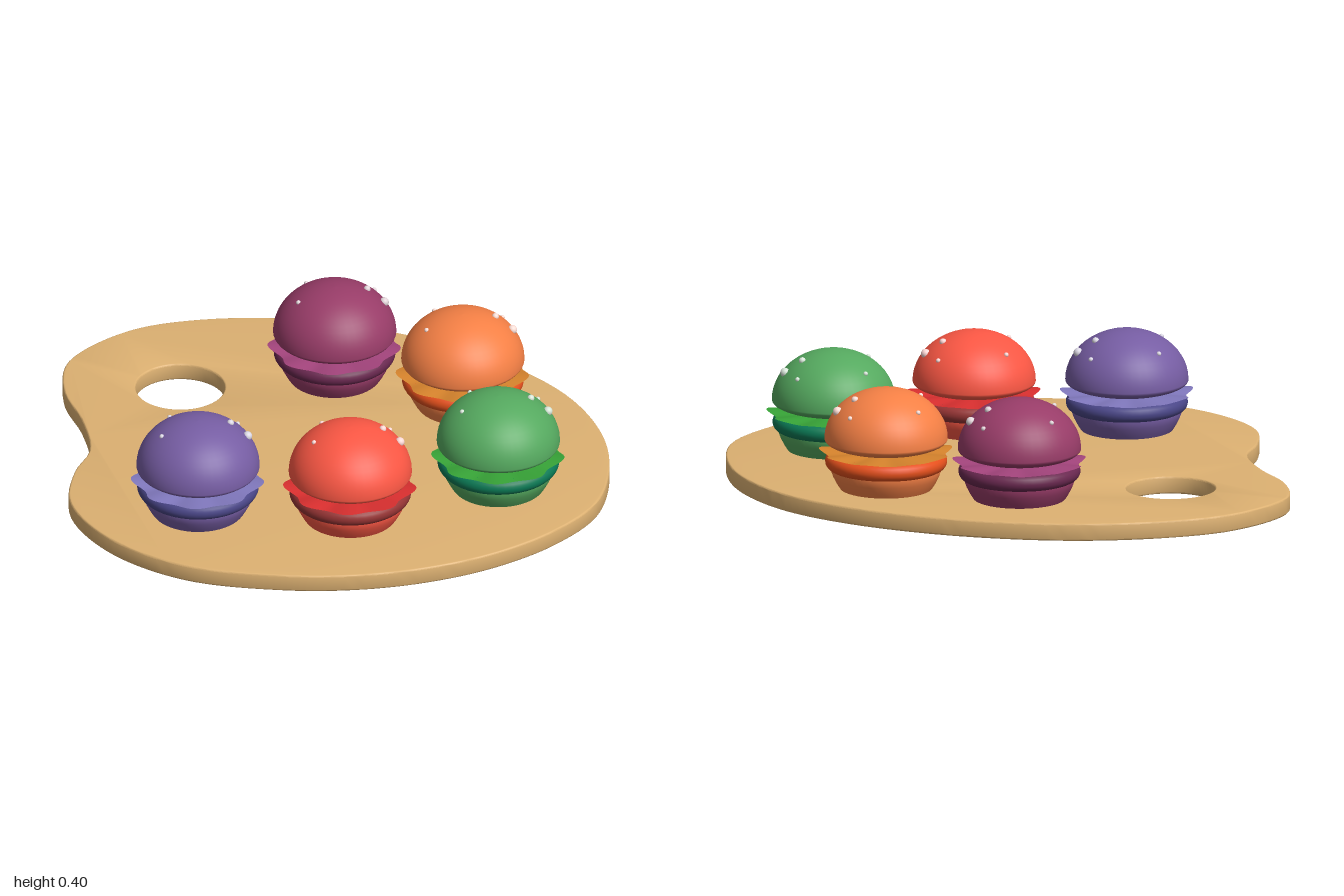
import * as THREE from 'three';
import { toCreasedNormals } from 'three/addons/utils/BufferGeometryUtils.js';

const BOARD_TOP = 0.06;
const DOME = { y: 0.23, r: 0.207, top: 0.172, bottom: 0.045 };

function mesh(name, geometry, color, side = THREE.FrontSide) {
  const m = new THREE.Mesh(geometry, new THREE.MeshStandardMaterial({ color, side }));
  m.name = name;
  return m;
}

const lathe = (points, segments = 48) =>
  new THREE.LatheGeometry(points.map(([r, y]) => new THREE.Vector2(r, y)), segments);

// Kidney-shaped board with a thumb hole; outline points are x, z
function createBoard() {
  const outline = [
    [-1, -0.25], [-0.9, -0.51], [-0.72, -0.67], [-0.41, -0.81], [0, -0.86],
    [0.4, -0.8], [0.67, -0.67], [0.89, -0.43], [1, -0.1], [0.95, 0.14],
    [0.82, 0.37], [0.65, 0.55], [0.45, 0.69], [0.22, 0.79], [-0.1, 0.855],
    [-0.4, 0.79], [-0.62, 0.62], [-0.69, 0.42], [-0.7, 0.27], [-0.8, 0.1], [-0.935, -0.06],
  ];
  const curve = new THREE.CatmullRomCurve3(
    outline.map(([x, z]) => new THREE.Vector3(x, -z, 0)), true, 'centripetal');
  const ring = curve.getSpacedPoints(160).slice(0, -1).map((p) => new THREE.Vector2(p.x, p.y));
  const shape = new THREE.Shape(ring.reverse());
  shape.holes.push(new THREE.Path().absarc(-0.588, 0.238, 0.15, 0, Math.PI * 2, true));
  const bevel = 0.006;
  const geometry = new THREE.ExtrudeGeometry(shape, {
    depth: BOARD_TOP - 2 * bevel, curveSegments: 32, bevelEnabled: true,
    bevelSize: bevel, bevelThickness: bevel, bevelOffset: -bevel, bevelSegments: 3,
  });
  geometry.translate(0, 0, bevel).rotateX(-Math.PI / 2);
  return mesh('paletteBoard', toCreasedNormals(geometry, 0.7), 0xddb172);
}

// Rounded top bun: tall upper half, shallow lower half
function domeGeometry() {
  const points = [];
  for (let i = 0; i <= 28; i++) {
    const a = -Math.PI / 2 + (Math.PI * i) / 28;
    const h = a < 0 ? DOME.bottom : DOME.top;
    points.push([Math.max(0, DOME.r * Math.cos(a)), DOME.y + h * Math.sin(a)]);
  }
  return lathe(points);
}

// Thin leaf with nine lobes and a gentle ripple
function leafGeometry() {
  const geometry = new THREE.RingGeometry(0.08, 1, 108, 4).rotateX(-Math.PI / 2);
  const pos = geometry.attributes.position;
  for (let i = 0; i < pos.count; i++) {
    const x = pos.getX(i), z = pos.getZ(i);
    const t = Math.hypot(x, z);
    const wave = Math.cos(9 * Math.atan2(x, -z));
    const r = 0.213 + 0.014 * wave;
    pos.setXYZ(i, x * r, 0.185 + 0.005 * wave * t * t, z * r);
  }
  geometry.computeVertexNormals();
  return geometry;
}

// Thick disc with a rounded rim
function pattyGeometry() {
  const points = [[0, 0.125]];
  for (let i = 0; i <= 10; i++) {
    const a = -Math.PI / 2 + (Math.PI * i) / 10;
    points.push([0.178 + 0.027 * Math.cos(a), 0.153 + 0.028 * Math.sin(a)]);
  }
  points.push([0, 0.181]);
  return lathe(points);
}

function createBurger({ name, x, z, bun, patty, leaf }) {
  const burger = new THREE.Group();
  burger.name = name;
  burger.position.set(x, 0, z);
  const base = lathe([[0, 0.055], [0.152, 0.055], [0.165, 0.075], [0.178, 0.1],
    [0.187, 0.125], [0.185, 0.14], [0, 0.14]]);
  burger.add(
    mesh('bottomBun', toCreasedNormals(base, 0.8), bun),
    mesh('patty', pattyGeometry(), patty),
    mesh('lettuce', leafGeometry(), leaf, THREE.DoubleSide),
    mesh('topBun', domeGeometry(), bun),
  );

  // Seeds resting on the dome: x, z, radius
  const seeds = [[0.145, -0.083, 0.016], [0.087, -0.073, 0.012], [0.08, -0.15, 0.008],
    [-0.135, -0.073, 0.008], [-0.095, 0.087, 0.008]];
  const pale = new THREE.Color(bun).lerp(new THREE.Color(0xffffff), 0.65);
  for (const [sx, sz, r] of seeds) {
    const d = Math.hypot(sx, sz) / DOME.r;
    const seed = mesh('seed', new THREE.SphereGeometry(r, 16, 12), pale);
    seed.position.set(sx, DOME.y + DOME.top * Math.sqrt(1 - d * d), sz);
    burger.add(seed);
  }
  return burger;
}

export function createModel() {
  const model = new THREE.Group();
  model.name = 'burgerPalette';
  model.add(createBoard());
  const burgers = [
    { name: 'violetBurger', x: -0.21, z: 0.49, bun: 0x765da3, patty: 0x4a4688, leaf: 0x8078bd },
    { name: 'redBurger', x: 0.275, z: 0.325, bun: 0xfb5744, patty: 0x963434, leaf: 0xd92f2f },
    { name: 'greenBurger', x: 0.65, z: -0.06, bun: 0x55a95f, patty: 0x0b7a55, leaf: 0x37a337 },
    { name: 'orangeBurger', x: 0.325, z: -0.515, bun: 0xf58045, patty: 0xe5501c, leaf: 0xd6832c },
    { name: 'plumBurger', x: -0.143, z: -0.515, bun: 0x983c68, patty: 0x6a2850, leaf: 0xa3447c },
  ];
  for (const spec of burgers) model.add(createBurger(spec));
  return model;
}
